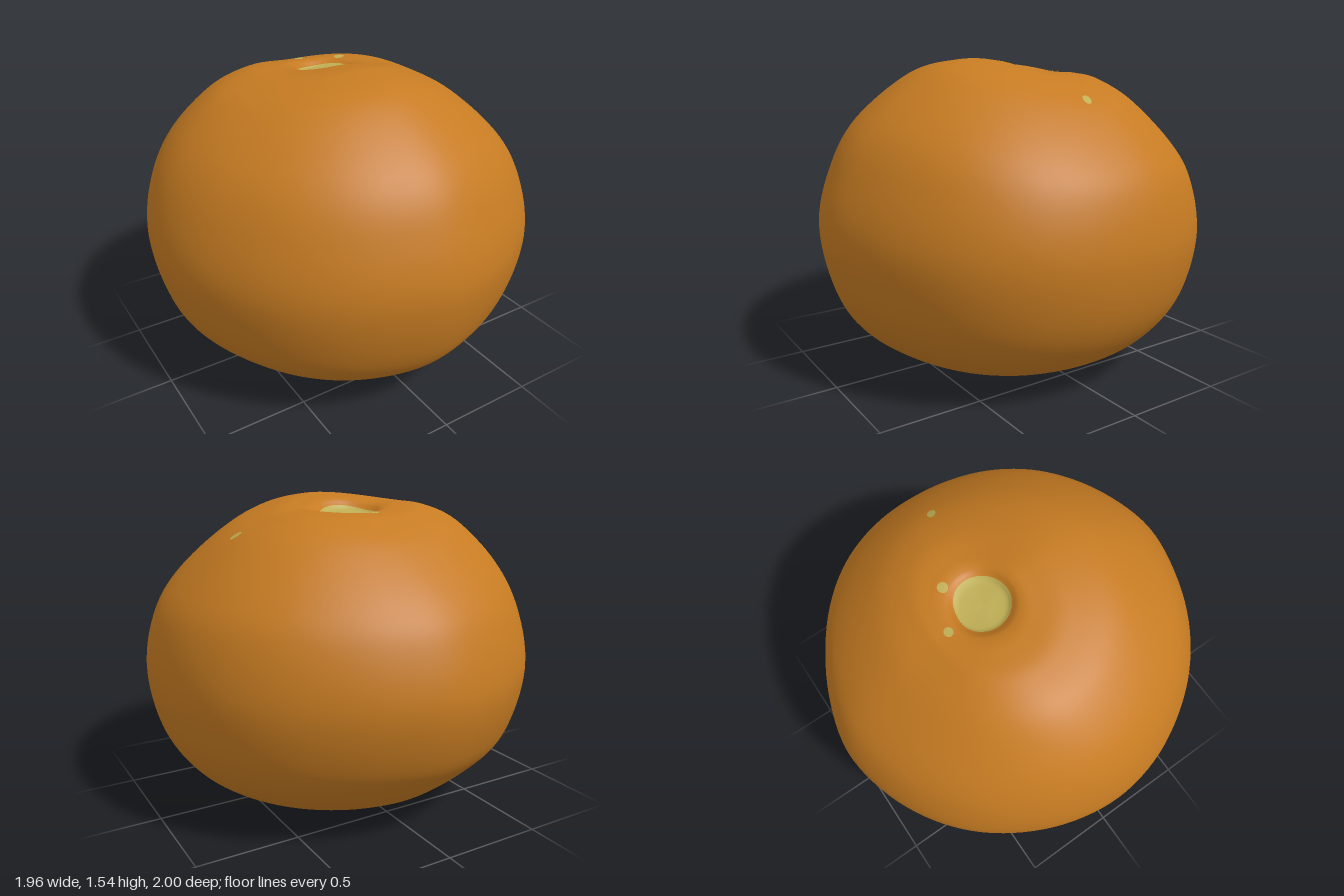
import * as THREE from 'three';

// Fruit profiles from the stem hollow to the underside, as [radius, height] rings,
// one per side; matching rings are blended around the body.
const tail = [[0.35, 0.006], [0, 0.015]];
const leftSide = [[0, 1.45], [0.1, 1.45], [0.15, 1.46], [0.185, 1.474], [0.25, 1.475], [0.4, 1.447], [0.6, 1.345],
  [0.81, 1.15], [0.925, 0.97], [0.975, 0.7], [0.925, 0.42], [0.8, 0.22], [0.6, 0.085], ...tail];
const frontSide = [[0, 1.45], [0.1, 1.465], [0.13, 1.49], [0.16, 1.52], [0.22, 1.535], [0.37, 1.543], [0.58, 1.483],
  [0.84, 1.25], [0.96, 1.0], [1.0, 0.73], [0.937, 0.42], [0.81, 0.225], [0.6, 0.08], ...tail];
const rightSide = [[0, 1.45], [0.09, 1.455], [0.12, 1.465], [0.165, 1.495], [0.25, 1.507], [0.4, 1.497], [0.6, 1.42],
  [0.81, 1.23], [0.932, 1.0], [0.98, 0.73], [0.915, 0.42], [0.8, 0.25], [0.6, 0.095], ...tail];
const backSide = [[0, 1.45], [0.1, 1.44], [0.12, 1.445], [0.16, 1.468], [0.23, 1.462], [0.31, 1.438], [0.52, 1.34],
  [0.78, 1.14], [0.917, 0.96], [1.0, 0.69], [0.935, 0.42], [0.815, 0.265], [0.6, 0.095], ...tail];
const profiles = [leftSide, frontSide, rightSide, backSide]
  .map((p) => new THREE.SplineCurve(p.map(([r, y]) => new THREE.Vector2(r, y))));

// The stem axis sits behind the centre and drifts back to it lower down.
const axis = new THREE.SplineCurve([-0.13, -0.13, -0.13, -0.13, -0.13, -0.12, -0.08, -0.04, -0.02, 0, 0, 0, 0, 0, 0]
  .map((z) => new THREE.Vector2(z, 0)));

// Uneven outline seen from above, every 15 degrees starting at +x towards +z.
const outline = new THREE.CatmullRomCurve3([0.975, 0.983, 0.992, 0.992, 0.985, 0.987, 1, 0.985, 0.975, 0.968, 0.965,
  0.973, 0.98, 0.977, 0.975, 0.98, 0.985, 0.992, 1, 0.98, 0.97, 0.975, 0.98, 0.977]
  .map((r) => new THREE.Vector3(r, 0, 0)), true, 'catmullrom');

const LAST = leftSide.length - 1;
const EQUATOR = 9;

// Blends the two neighbouring profiles at ring t and angle a.
function blend(t, a) {
  const q = a / (Math.PI / 2);
  const i = Math.floor(q);
  const w = Math.sin((q - i) * Math.PI / 2) ** 2;
  return profiles[i % 4].getPoint(t / LAST).lerp(profiles[(i + 1) % 4].getPoint(t / LAST), w);
}

function surface(t, angle) {
  const turn = Math.PI * 2;
  const a = ((angle % turn) + turn) % turn;
  const p = blend(t, a);
  const bulge = outline.getPoint(a / turn).x / blend(EQUATOR, a).x - 1;
  const r = p.x * (1 + bulge * THREE.MathUtils.smoothstep(p.x, 0.2, 0.9));
  return new THREE.Vector3(r * Math.cos(a), p.y, r * Math.sin(a) + axis.getPoint(t / LAST).x);
}

// Smooth closed rings between two profile positions.
function ringSurface(from, to, rows, cols = 120) {
  const positions = [];
  const index = [];
  for (let i = 0; i <= rows; i++) {
    for (let j = 0; j < cols; j++) {
      positions.push(...surface(from + (to - from) * i / rows, j / cols * Math.PI * 2).toArray());
      if (i === rows) continue;
      const a = i * cols + j;
      const b = i * cols + (j + 1) % cols;
      index.push(a, b, a + cols, b, b + cols, a + cols);
    }
  }
  const geometry = new THREE.BufferGeometry();
  geometry.setAttribute('position', new THREE.Float32BufferAttribute(positions, 3));
  geometry.setIndex(index);
  geometry.computeVertexNormals();
  return geometry;
}

// Small oval fleck that hugs the skin, longer down the slope than across it.
function fleckGeometry(t, a, length, width) {
  const geometry = new THREE.CircleGeometry(1, 12);
  const pos = geometry.attributes.position;
  const centre = surface(t, a);
  const perT = surface(t + 0.05, a).distanceTo(centre) / 0.05;
  const perA = surface(t, a + 0.05).distanceTo(centre) / 0.05;
  for (let i = 0; i < pos.count; i++) {
    const p = surface(t + pos.getX(i) * length / perT, a - pos.getY(i) * width / perA);
    pos.setXYZ(i, p.x, p.y + 0.005, p.z);
  }
  geometry.computeVertexNormals();
  return geometry;
}

export function createModel() {
  const orange = new THREE.MeshStandardMaterial({ color: 0xc67b22 });
  orange.name = 'orange peel';
  const straw = new THREE.MeshStandardMaterial({ color: 0xbfae55 });
  straw.name = 'straw yellow';

  const group = new THREE.Group();
  group.name = 'fruit';
  const add = (name, geometry, material) => {
    const mesh = new THREE.Mesh(geometry, material);
    mesh.name = name;
    group.add(mesh);
  };

  add('skin', ringSurface(2, LAST, 96), orange);
  add('stemScar', ringSurface(0, 2, 12), straw);

  // Flecks around the stem and on the left shoulder
  const flecks = [[3.5, 4.61, 0.022, 0.024], [3.3, -0.53, 0.026, 0.026], [5.87, 0.075, 0.033, 0.022]];
  flecks.forEach(([t, a, l, w], i) => add('fleck' + (i + 1), fleckGeometry(t, a, l, w), straw));
  return group;
}
